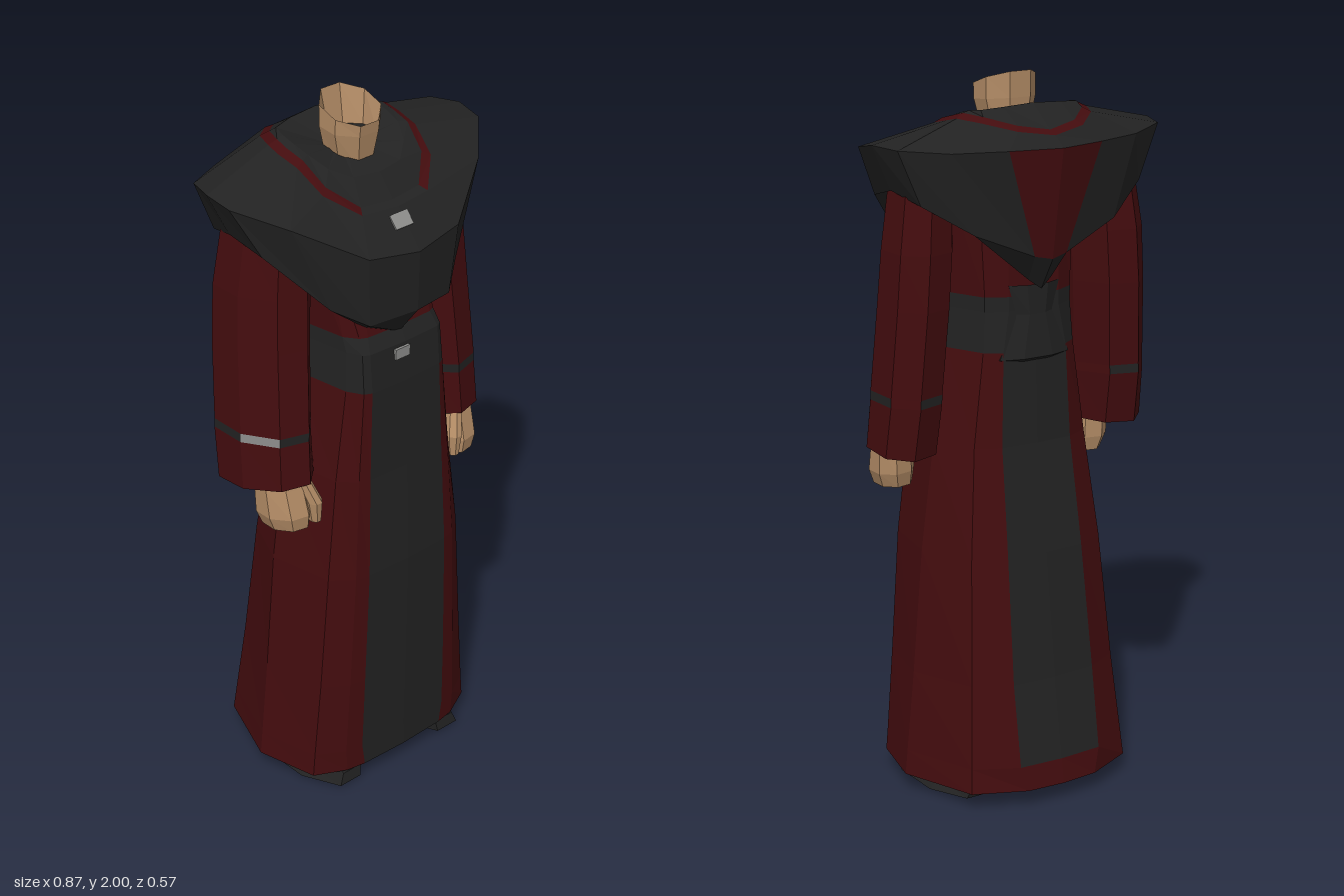
import * as THREE from 'three';

const mat = (name, color) => Object.assign(new THREE.MeshStandardMaterial({ color }), { name });

// closed outline from a half outline running front centre -> +x -> back centre
const mirror = (half) => [...half, ...half.slice(1, -1).reverse().map(([x, y, z]) => [-x, y, z])];

// eight-sided ring filling the given x and z ranges; tilt raises it along z, skew pushes its +x side back
function octagon(y, x0, x1, z0, z1, tilt = 0, skew = 0) {
  const k = 1 / Math.cos(Math.PI / 8);
  return Array.from({ length: 8 }, (_, i) => {
    const a = ((i - 0.5) * Math.PI) / 4;
    const dx = (Math.sin(a) * k * (x1 - x0)) / 2;
    const z = (z0 + z1) / 2 + (Math.cos(a) * k * (z1 - z0)) / 2 - skew * dx;
    return [(x0 + x1) / 2 + dx, y + tilt * z, z];
  });
}

// other-side copy of rings, keeping the winding
const flip = (rings) => rings.map((r) => r.map(([x, y, z]) => [-x, y, z]).reverse());

// faceted skin over rings listed from top to bottom; pick(row, column) gives the material
function loft(name, rings, pick) {
  const buckets = new Map();
  for (let i = 0; i < rings.length - 1; i++) {
    const n = rings[i].length;
    for (let j = 0; j < n; j++) {
      const k = (j + 1) % n;
      const [a, b, c, d] = [rings[i][j], rings[i][k], rings[i + 1][k], rings[i + 1][j]];
      const m = pick(i, j);
      if (!buckets.has(m)) buckets.set(m, []);
      buckets.get(m).push(...a, ...d, ...c, ...a, ...c, ...b);
    }
  }
  const geo = new THREE.BufferGeometry();
  const all = [];
  [...buckets.values()].forEach((p, i) => {
    geo.addGroup(all.length / 3, p.length / 3, i);
    for (const v of p) all.push(v);
  });
  geo.setAttribute('position', new THREE.Float32BufferAttribute(all, 3));
  geo.computeVertexNormals();
  const mesh = new THREE.Mesh(geo, [...buckets.keys()]);
  mesh.name = name;
  return mesh;
}

export function createModel() {
  const g = new THREE.Group();
  g.name = 'robedFigure';
  const dark = mat('charcoalCloth', 0x222222);
  const red = mat('darkRedCloth', 0x430c0e);
  const skin = mat('skin', 0xb38c66);
  const grey = mat('greyMetal', 0x8c8c8a);

  // robe: torso, belt and flared skirt with front and back panels
  const robeRing = ([y, w, zf, zb, xf, xb]) => mirror([
    [0, y, zf], [xf, y, zf - 0.005], [xf + (w - xf) * 0.3, y, zf - 0.015], [0.87 * w, y, 0.76 * zf],
    [w, y, 0.01], [0.76 * w, y, 0.74 * zb], [xb, y, 0.97 * zb], [0, y, zb],
  ]);
  const robe = [
    [1.76, 0.2, 0.12, -0.12, 0.09, 0.08],
    [1.41, 0.18, 0.215, -0.13, 0.11, 0.08],
    [1.37, 0.18, 0.235, -0.13, 0.12, 0.08],
    [1.26, 0.19, 0.245, -0.135, 0.12, 0.1],
    [1.0, 0.235, 0.25, -0.145, 0.13, 0.11],
    [0.7, 0.275, 0.26, -0.19, 0.14, 0.12],
    [0.35, 0.305, 0.255, -0.235, 0.15, 0.13],
    [0.12, 0.328, 0.25, -0.272, 0.155, 0.13],
    [0.05, 0.335, 0.25, -0.283, 0.145, 0.11],
    [0.07, 0.31, 0.23, -0.26, 0.15, 0.12],
    [0.15, 0.001, 0.001, -0.001, 0.0005, 0.0005],
  ].map(robeRing);
  g.add(loft('robe', robe, (row, col) => {
    if (row === 0) return red;
    if (row < 3 || row > 7) return dark;
    if (col === 0 || col === 13) return dark;
    return (col === 6 || col === 7) && row < 7 ? dark : red;
  }));

  // sash knot at the back of the waist
  g.add(loft('backSash', [
    octagon(1.44, -0.08, 0.08, -0.145, -0.08),
    octagon(1.36, -0.06, 0.06, -0.145, -0.08),
    octagon(1.24, -0.11, 0.11, -0.15, -0.08),
    octagon(1.22, -0.06, 0.06, -0.12, -0.1),
  ], () => dark));

  // belt clasp and chest pendant, thin plates lying on the cloth
  for (const [name, w, h, x, y, z, lean] of [
    ['beltClasp', 0.05, 0.03, -0.015, 1.345, 0.239, 0],
    ['chestPendant', 0.06, 0.04, -0.01, 1.72, 0.223, -0.75],
  ]) {
    const plate = new THREE.Mesh(new THREE.BoxGeometry(w, h, 0.008), grey);
    plate.name = name;
    plate.position.set(x, y, z);
    plate.rotation.x = lean;
    g.add(plate);
  }

  // shoulder mantle: collar crest, trim band, rim and hem as half outlines
  const crest = [[0, 1.82, 0.13], [0.08, 1.825, 0.12], [0.13, 1.85, 0.08], [0.155, 1.88, 0.03], [0.16, 1.895, -0.02],
    [0.16, 1.905, -0.06], [0.15, 1.91, -0.1], [0.09, 1.915, -0.115], [0, 1.92, -0.12]];
  const trim = [[0, 1.76, 0.18], [0.1, 1.765, 0.17], [0.165, 1.82, 0.11], [0.18, 1.875, 0.04], [0.183, 1.89, -0.02],
    [0.18, 1.9, -0.06], [0.155, 1.895, -0.12], [0.09, 1.875, -0.18], [0, 1.86, -0.2]];
  const rim = [[0, 1.65, 0.284], [0.155, 1.67, 0.264], [0.325, 1.77, 0.16], [0.43, 1.82, 0.05], [0.436, 1.835, -0.03],
    [0.41, 1.83, -0.115], [0.29, 1.82, -0.18], [0.145, 1.82, -0.228], [0, 1.82, -0.262]];
  const hem = [[0, 1.48, 0.28], [0.14, 1.47, 0.25], [0.22, 1.52, 0.19], [0.36, 1.68, 0.09], [0.375, 1.71, -0.02],
    [0.345, 1.68, -0.12], [0.22, 1.6, -0.18], [0.05, 1.53, -0.205], [0, 1.52, -0.215]];
  const collar = crest.map(([x, , z]) => [x * 0.28, 1.86, z * 0.28]);
  const trimEdge = trim.map(([x, y, z]) => [x * 1.13, y - 0.012, z * 1.12]);
  const tuck = hem.map(([x, y, z]) => [x * 0.72, y - 0.09 + 0.34 * x, z * 0.75]);
  const mantle = [collar, crest, trim, trimEdge, rim, hem, tuck].map(mirror);
  g.add(loft('mantle', mantle, (row, col) => {
    if (row === 2) return col === 0 || col === 15 ? dark : red;
    return row === 4 && (col === 7 || col === 8) ? red : dark;
  }));

  // neck, slanted and hollow at the top
  g.add(loft('neck', [
    octagon(1.89, -0.001, 0.001, 0.02, 0.022),
    octagon(1.89, -0.063, 0.063, -0.04, 0.085),
    octagon(1.975, -0.078, 0.078, -0.06, 0.094, -0.35),
    octagon(1.92, -0.078, 0.078, -0.058, 0.09, -0.1),
    octagon(1.82, -0.055, 0.055, -0.05, 0.075),
  ], (row) => (row < 1 ? dark : skin)));

  // sleeves, hands and shoes on both sides
  const sleeve = [
    [1.79, 0.22, 0.31, -0.06, 0.06],
    [1.72, 0.19, 0.36, -0.11, 0.11],
    [1.55, 0.19, 0.385, -0.125, 0.12],
    [1.4, 0.2, 0.395, -0.125, 0.13],
    [1.165, 0.215, 0.408, -0.11, 0.15],
    [1.14, 0.216, 0.409, -0.11, 0.15],
    [1.0, 0.22, 0.415, -0.085, 0.16],
    [1.01, 0.235, 0.4, -0.07, 0.145],
    [1.09, 0.31, 0.312, 0.05, 0.052],
  ].map((r) => octagon(...r, r[0] < 1.05 ? 0.08 : 0, 0.3));
  const hand = [
    octagon(1.08, 0.27, 0.36, 0.03, 0.13),
    octagon(1.0, 0.255, 0.375, 0.035, 0.15, 0, 0.2),
    octagon(0.92, 0.25, 0.375, 0.035, 0.17, 0, 0.2),
    octagon(0.88, 0.255, 0.36, 0.045, 0.165, 0, 0.2),
    octagon(0.87, 0.3, 0.302, 0.1, 0.102),
  ];
  const thumb = [
    octagon(1.02, 0.26, 0.3, 0.11, 0.16),
    octagon(0.95, 0.235, 0.28, 0.13, 0.185),
    octagon(0.89, 0.24, 0.27, 0.14, 0.18),
    octagon(0.885, 0.255, 0.256, 0.16, 0.161),
  ];
  const shoe = [
    octagon(0.14, 0.12, 0.22, -0.12, 0.06),
    octagon(0.07, 0.11, 0.25, -0.14, 0.2),
    octagon(0.04, 0.1, 0.26, -0.15, 0.23),
    octagon(0.005, 0.1, 0.28, -0.14, 0.235),
    octagon(0.0, 0.19, 0.191, 0.04, 0.041),
  ];
  // cuff marks on chosen faces: 0 front, 1 front outer, 2 outer, 4 back, 7 front inner
  const cuff = { 0: dark, 1: grey, 2: dark, 4: dark, 7: dark };
  for (const [side, s] of [['left', 1], ['right', -1]]) {
    const put = (part, rings, pick) => g.add(loft(side + part, s > 0 ? rings : flip(rings), pick));
    put('Sleeve', sleeve, (row, col) => {
      const face = s > 0 ? col : (14 - col) % 8;
      if (row === 4) return cuff[face] ?? red;
      return row > 6 ? dark : red;
    });
    put('Hand', hand, () => skin);
    put('Thumb', thumb, () => skin);
    put('Shoe', shoe, () => dark);
  }
  return g;
}
